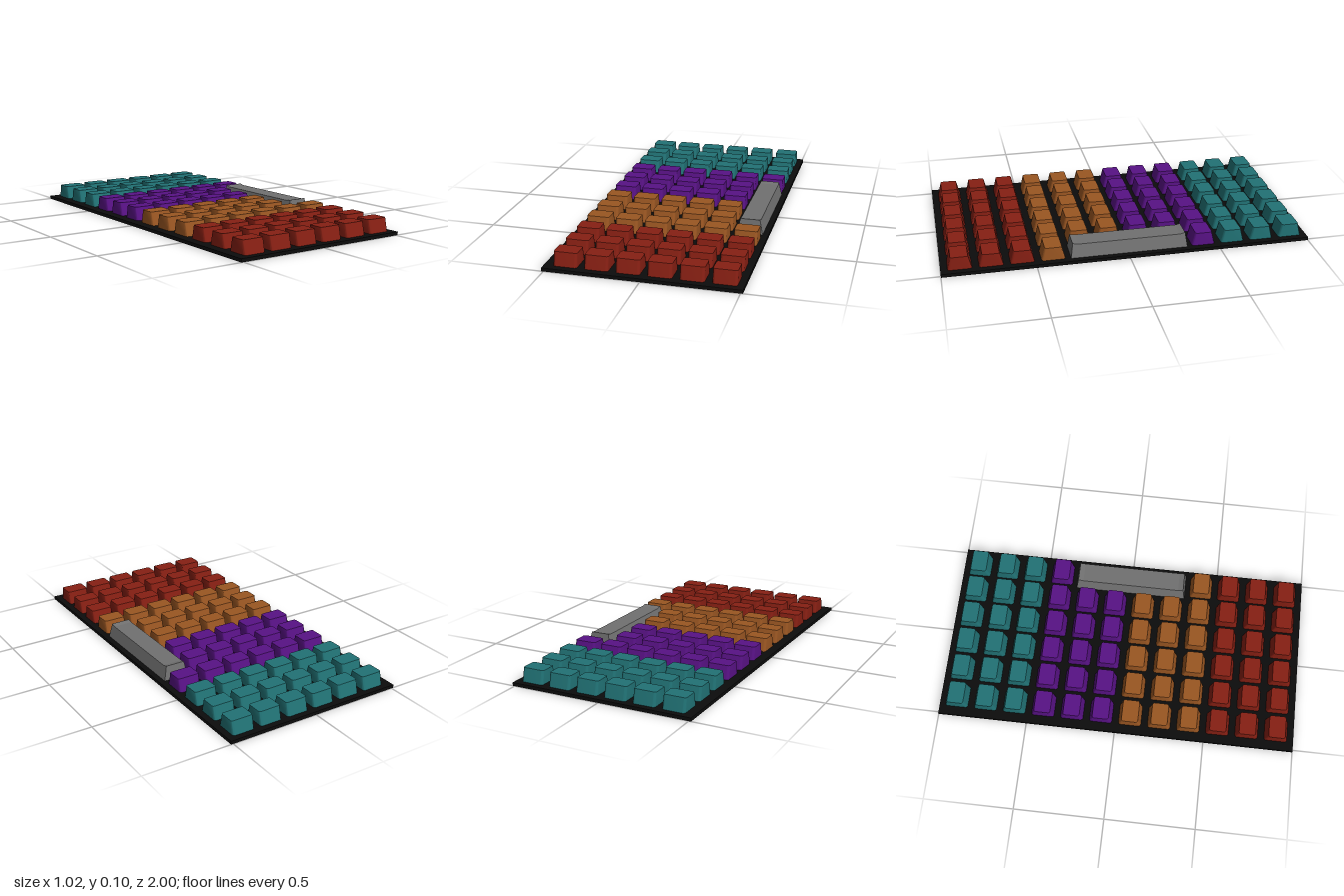
import * as THREE from 'three';
import { toCreasedNormals } from 'three/addons/utils/BufferGeometryUtils.js';

const PITCH = 0.164, BASE = 0.018, KEY_H = 0.073;

// Keycap: rounded rectangle rising straight in x, narrowing in z towards the top
function keyGeometry() {
  const w = 0.0625, d = 0.0635, r = 0.014;
  const s = new THREE.Shape();
  s.moveTo(-w + r, -d);
  s.lineTo(w - r, -d).absarc(w - r, -d + r, r, -Math.PI / 2, 0);
  s.lineTo(w, d - r).absarc(w - r, d - r, r, 0, Math.PI / 2);
  s.lineTo(-w + r, d).absarc(-w + r, d - r, r, Math.PI / 2, Math.PI);
  s.lineTo(-w, -d + r).absarc(-w + r, -d + r, r, Math.PI, Math.PI * 1.5);
  const geo = new THREE.ExtrudeGeometry(s, { depth: KEY_H, bevelEnabled: false, curveSegments: 4 });
  geo.rotateX(-Math.PI / 2);
  const p = geo.attributes.position;
  for (let i = 0; i < p.count; i++) p.setZ(i, p.getZ(i) * (1 - 0.28 * p.getY(i) / KEY_H));
  return toCreasedNormals(geo, 0.6);
}

// Long key: side profile with slightly raised ends, narrowing in x towards the top
function longKeyGeometry() {
  const half = [[0.318, 0], [0.307, 0.079], [0.278, 0.073]];
  const pts = [...half, ...half.map(([z, y]) => [-z, y]).reverse()];
  const s = new THREE.Shape(pts.map(([z, y]) => new THREE.Vector2(z, y)));
  const geo = new THREE.ExtrudeGeometry(s, { depth: 0.142, bevelEnabled: false });
  geo.translate(0, 0, -0.071).rotateY(-Math.PI / 2);
  const p = geo.attributes.position;
  for (let i = 0; i < p.count; i++) p.setX(i, p.getX(i) * (1 - 0.25 * p.getY(i) / 0.079));
  geo.computeVertexNormals();
  return geo;
}

export function createModel() {
  const model = new THREE.Group();
  model.name = 'keyboard';
  const add = (parent, name, geo, mat, x, y, z) => {
    const m = new THREE.Mesh(geo, mat);
    m.name = name;
    m.position.set(x, y, z);
    parent.add(m);
  };
  const material = (color) => new THREE.MeshStandardMaterial({ color });

  // Base plate
  add(model, 'basePlate', new THREE.BoxGeometry(1.024, BASE, 2), material(0x0c0c0c), 0, BASE / 2, 0);

  // Four coloured bands of three rows, leaving room for the long key in the last column
  const bands = [['tealKeys', 0x217275], ['purpleKeys', 0x581285], ['orangeKeys', 0x9a5622], ['redKeys', 0x861f13]];
  const key = keyGeometry();
  bands.forEach(([name, color], b) => {
    const band = new THREE.Group(), mat = material(color);
    band.name = name;
    for (let row = b * 3; row < b * 3 + 3; row++) {
      for (let col = 0; col < 6; col++) {
        if (col === 5 && row >= 4 && row <= 7) continue;
        add(band, 'key', key, mat, -0.4 + col * 0.163, BASE, -0.904 + row * PITCH);
      }
    }
    model.add(band);
  });

  // Long key
  add(model, 'longKey', longKeyGeometry(), material(0x717171), 0.41, BASE, -0.003);
  return model;
}
